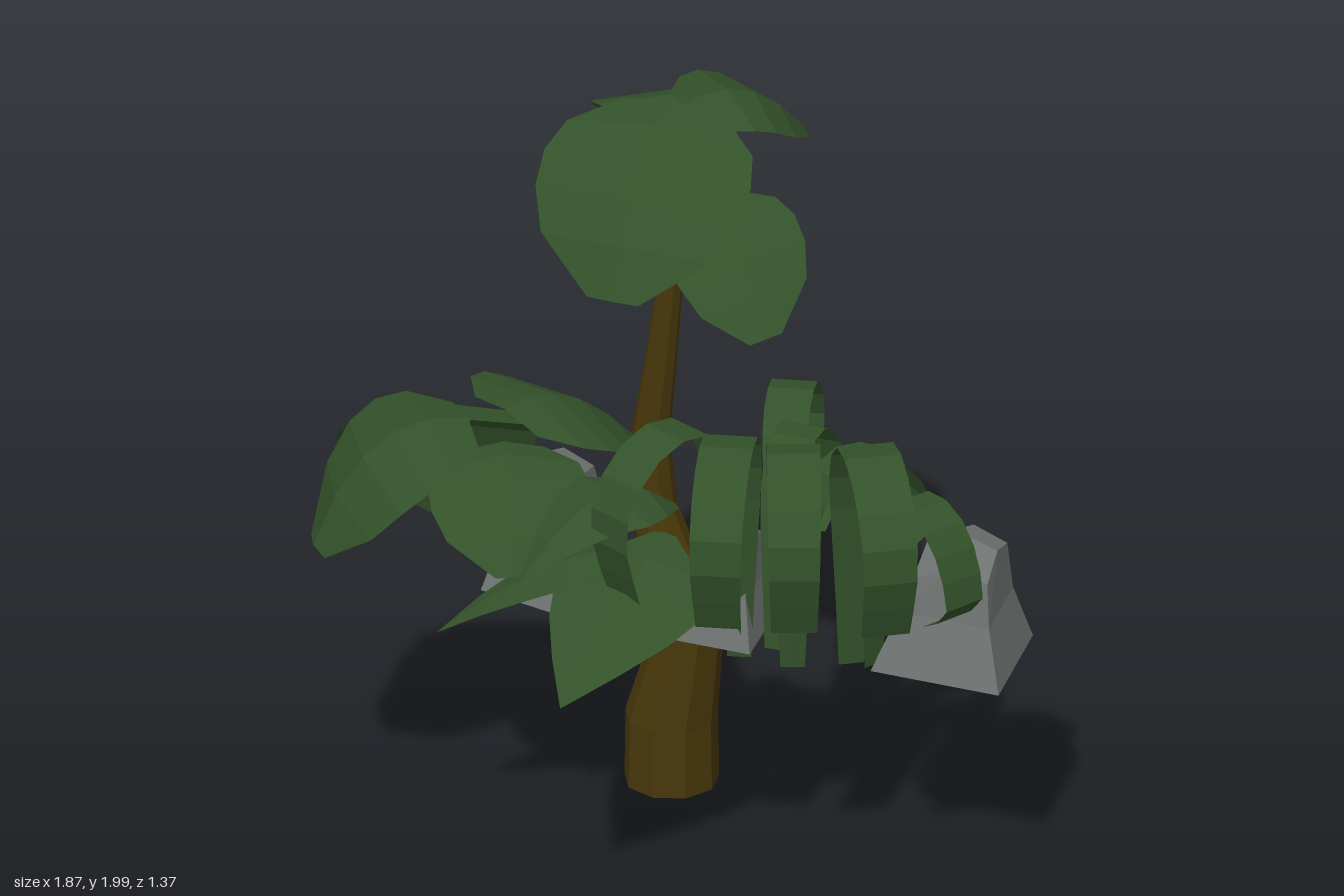
import * as THREE from 'three';

const V = (p) => new THREE.Vector3(...p);
const mat = (name, color, side = THREE.FrontSide) => {
  const m = new THREE.MeshStandardMaterial({ color, side, flatShading: true });
  m.name = name;
  return m;
};

// Linear interpolation along an evenly spaced list of numbers
const sample = (list, t) => {
  const f = t * (list.length - 1), i = Math.min(Math.floor(f), list.length - 2);
  return list[i] + (list[i + 1] - list[i]) * (f - i);
};

// Open sheet that follows a curve; point(t, u) gives its surface, u from -1 to 1
function sheet(rows, cols, point) {
  const pos = [], index = [];
  for (let i = 0; i <= rows; i++)
    for (let j = 0; j <= cols; j++) {
      pos.push(...point(i / rows, (j / cols) * 2 - 1).toArray());
      if (i < rows && j < cols) {
        const a = i * (cols + 1) + j, b = a + cols + 1;
        index.push(a, a + 1, b, b, a + 1, b + 1);
      }
    }
  const g = new THREE.BufferGeometry();
  g.setAttribute('position', new THREE.Float32BufferAttribute(pos, 3));
  g.setIndex(index);
  g.computeVertexNormals();
  return g;
}

const BROAD = [0.5, 0.9, 1, 0.98, 0.82, 0.25];
const POINTED = [0.15, 0.75, 1, 0.8, 0.45, 0];

// Leaf with a drooping midrib, slightly folded across its width
function leaf(base, bend, tip, half, profile, roll = 0) {
  const curve = new THREE.QuadraticBezierCurve3(V(base), V(bend), V(tip));
  const dir = V(tip).sub(V(base));
  const side = new THREE.Vector3(-dir.z, 0, dir.x).normalize().applyAxisAngle(dir.clone().normalize(), roll);
  return sheet(5, 4, (t, u) => {
    const w = half * sample(profile, t);
    const normal = side.clone().cross(curve.getTangent(t));
    if (normal.y < 0) normal.negate();
    return curve.getPoint(t).addScaledVector(side, u * w).addScaledVector(normal, -0.18 * w * Math.abs(u));
  });
}

// Strap that rises from a narrow stem, arches outward and curls down
function strap([x0, z0], [x1, z1], foot, top, half, curl) {
  const len = Math.hypot(x1 - x0, z1 - z0);
  const dx = (x1 - x0) / len, dz = (z1 - z0) / len;
  const path = [
    [0, foot], [0.06, (foot + top) / 2], [0.14, top - 0.13], [0.28, top - 0.03], [0.5, top],
    [0.8, top - 0.05], [0.97, top - 0.17], [0.98, top - 0.25], [curl, top - (top > 1.2 ? 0.44 : 0.32)],
  ];
  const curve = new THREE.CatmullRomCurve3(
    path.map(([s, y]) => new THREE.Vector3(x0 + dx * s * len, y, z0 + dz * s * len)));
  const side = new THREE.Vector3(-dz, 0, dx);
  const widths = [0.45, 0.6, 0.8, 1, 1, 1, 0.95, 0.85];
  return sheet(15, 1, (t, u) => curve.getPointAt(t).addScaledVector(side, u * half * sample(widths, t)));
}

// Trunk: a cylinder bent through [y, x, z, radius]
function trunkGeometry() {
  const rings = [
    [0, -0.155, -0.34, 0.125], [0.19, -0.155, -0.34, 0.122], [0.34, -0.125, -0.335, 0.105],
    [0.48, -0.1, -0.33, 0.092], [0.62, -0.155, -0.34, 0.082], [0.78, -0.205, -0.345, 0.062],
    [0.98, -0.215, -0.34, 0.052], [1.2, -0.185, -0.335, 0.043], [1.55, -0.145, -0.33, 0.032],
    [1.82, -0.13, -0.32, 0.018],
  ];
  const g = new THREE.CylinderGeometry(1, 1, 1, 9, rings.length - 1);
  const p = g.attributes.position;
  for (let i = 0; i < p.count; i++) {
    const [y, x, z, r] = rings[Math.round((p.getY(i) + 0.5) * (rings.length - 1))];
    p.setXYZ(i, x + p.getX(i) * r, y, z + p.getZ(i) * r);
  }
  g.computeVertexNormals();
  return g;
}

// Rock: a box with a four-cornered foot that flares in to a blunt, uneven peak
function rock(corners, bottom, height, shrink, [tx, tz]) {
  const g = new THREE.BoxGeometry(1, 1, 1, 2, 2, 2);
  const p = g.attributes.position;
  const cx = corners.reduce((s, c) => s + c[0], 0) / 4;
  const cz = corners.reduce((s, c) => s + c[1], 0) / 4;
  for (let i = 0; i < p.count; i++) {
    const u = p.getX(i) + 0.5, v = p.getZ(i) + 0.5, t = p.getY(i) + 0.5;
    const mix = (k) => (1 - v) * ((1 - u) * corners[0][k] + u * corners[1][k])
      + v * ((1 - u) * corners[2][k] + u * corners[3][k]);
    const s = sample([1, 0.7, shrink], t);
    const peak = t > 0.99 ? 1 - 0.22 * (Math.abs(u - 0.5) + Math.abs(v - 0.5)) + 0.06 * (u - v) : t * 0.9;
    p.setXYZ(i, cx + (mix(0) - cx) * s + tx * t, bottom + height * peak, cz + (mix(1) - cz) * s + tz * t);
  }
  g.computeVertexNormals();
  return g;
}

export function createModel() {
  const model = new THREE.Group();
  const green = mat('leaf green', 0x33522a, THREE.DoubleSide);
  const bark = mat('bark brown', 0x48370a, THREE.DoubleSide);
  const stone = mat('stone grey', 0x6e7371);

  const cluster = (name, part, geometries, material) => {
    const group = new THREE.Group();
    group.name = name;
    geometries.forEach((g, i) => {
      const mesh = new THREE.Mesh(g, material);
      mesh.name = part + (i + 1);
      group.add(mesh);
    });
    model.add(group);
  };

  cluster('tree', 'trunk', [trunkGeometry()], bark);

  // Crown at the top of the trunk
  cluster('crown', 'crownLeaf', [
    leaf([-0.15, 1.98, -0.34], [-0.15, 1.95, -0.06], [-0.15, 1.59, 0.08], 0.29, BROAD),
    leaf([-0.07, 1.71, -0.34], [0.08, 1.71, -0.24], [0.2, 1.45, -0.13], 0.18, BROAD, 0.3),
    leaf([-0.14, 1.95, -0.34], [0.0, 2.08, -0.44], [0.11, 1.83, -0.6], 0.19, BROAD),
    leaf([-0.15, 1.95, -0.34], [-0.21, 2.0, -0.54], [-0.26, 1.69, -0.68], 0.23, BROAD),
  ], green);

  // Broad-leaved bush on one side
  cluster('broadBush', 'broadLeaf', [
    leaf([-0.53, 1.2, 0.13], [-0.76, 1.26, 0.28], [-0.86, 0.88, 0.38], 0.28, BROAD),
    leaf([-0.55, 1.15, 0.05], [-0.81, 1.18, -0.15], [-0.74, 0.7, -0.28], 0.27, BROAD),
    leaf([-0.46, 1.2, 0.05], [-0.38, 1.25, -0.14], [-0.24, 0.99, -0.31], 0.28, BROAD),
    leaf([-0.43, 1.15, 0.13], [-0.34, 1.18, 0.3], [-0.26, 0.94, 0.45], 0.21, BROAD),
  ], green);

  // Pointed leaves in the middle
  cluster('pointedBush', 'pointedLeaf', [
    leaf([0.02, 0.97, 0.12], [0.02, 0.94, 0.42], [-0.04, 0.71, 0.68], 0.22, POINTED),
    leaf([-0.04, 0.94, 0.15], [-0.25, 0.94, 0.28], [-0.51, 0.7, 0.39], 0.12, POINTED),
    leaf([0.04, 1.05, 0.1], [-0.09, 1.27, 0.28], [-0.24, 0.93, 0.51], 0.17, POINTED),
  ], green);

  // Curling straps: start, reach, foot height, top height, half width, curl
  cluster('strapPlant', 'strap', [
    [[0.16, 0.0], [-0.02, 0.42], 0.6, 1.32, 0.07, 0.85],
    [[0.17, -0.02], [0.31, 0.48], 0.57, 1.32, 0.07, 0.85],
    [[0.32, -0.02], [0.51, 0.42], 0.57, 1.32, 0.07, 0.85],
    [[0.46, -0.08], [0.75, 0.34], 0.58, 1.32, 0.075, 0.85],
    [[0.53, -0.06], [0.86, 0.11], 0.6, 1.15, 0.065, 0.7],
    [[0.26, -0.04], [0.25, -0.4], 0.6, 1.16, 0.06, 0.65],
    [[0.33, 0.0], [0.57, -0.31], 0.6, 1.16, 0.06, 0.65],
    [[0.2, -0.22], [0.08, -0.66], 0.62, 1.15, 0.06, 0.65],
  ].map((a) => strap(...a)), green);

  // Floating rocks
  cluster('rocks', 'rock', [
    rock([[-0.69, -0.58], [-0.35, -0.52], [-0.62, -0.17], [-0.3, -0.1]], 0.535, 0.33, 0.54, [0, 0]),
    rock([[0.53, -0.36], [0.87, -0.32], [0.56, 0.03], [0.92, 0.03]], 0.63, 0.35, 0.58, [0.02, 0]),
    rock([[-0.02, -0.2], [0.19, -0.24], [0.0, 0.03], [0.22, 0.03]], 0.61, 0.3, 0.55, [0.02, 0]),
  ], stone);

  return model;
}
